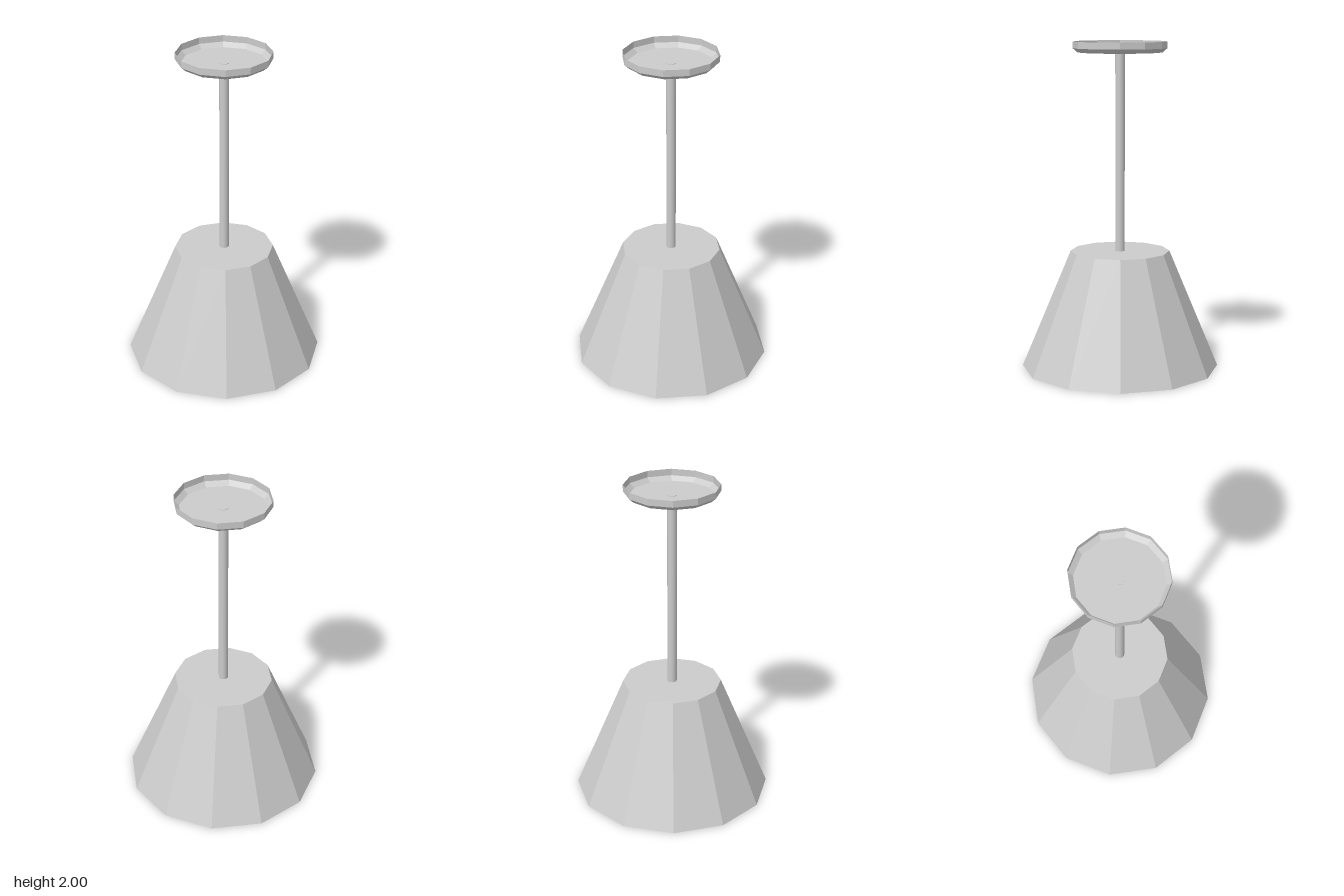
import * as THREE from 'three';

const SIDES = 12;

export function createModel() {
  const group = new THREE.Group();
  const faceted = new THREE.MeshStandardMaterial({ color: 0xcccccc, flatShading: true });
  const thin = new THREE.MeshStandardMaterial({ color: 0xcccccc, flatShading: true, side: THREE.DoubleSide });
  const smooth = new THREE.MeshStandardMaterial({ color: 0xcccccc });

  const add = (name, geometry, material, y = 0) => {
    const mesh = new THREE.Mesh(geometry, material);
    mesh.name = name;
    mesh.position.y = y;
    group.add(mesh);
  };

  // Closed, tapered twelve-sided shade
  const shadeHeight = 0.725;
  add('shade', new THREE.CylinderGeometry(0.303, 0.605, shadeHeight, SIDES), faceted, shadeHeight / 2);

  // Slim round rod from the shade up to the ceiling dish
  const rodTop = 1.938;
  add('rod', new THREE.CylinderGeometry(0.029, 0.029, rodTop - shadeHeight, 16),
    smooth, (rodTop + shadeHeight) / 2);

  // Thin ceiling dish, open at the top: floor, chamfer, upright rim
  const dishProfile = [[0, 1.935], [0.256, 1.935], [0.285, 1.96], [0.285, 2]]
    .map(([r, y]) => new THREE.Vector2(r, y));
  add('ceilingDish', new THREE.LatheGeometry(dishProfile, SIDES), thin);

  return group;
}
